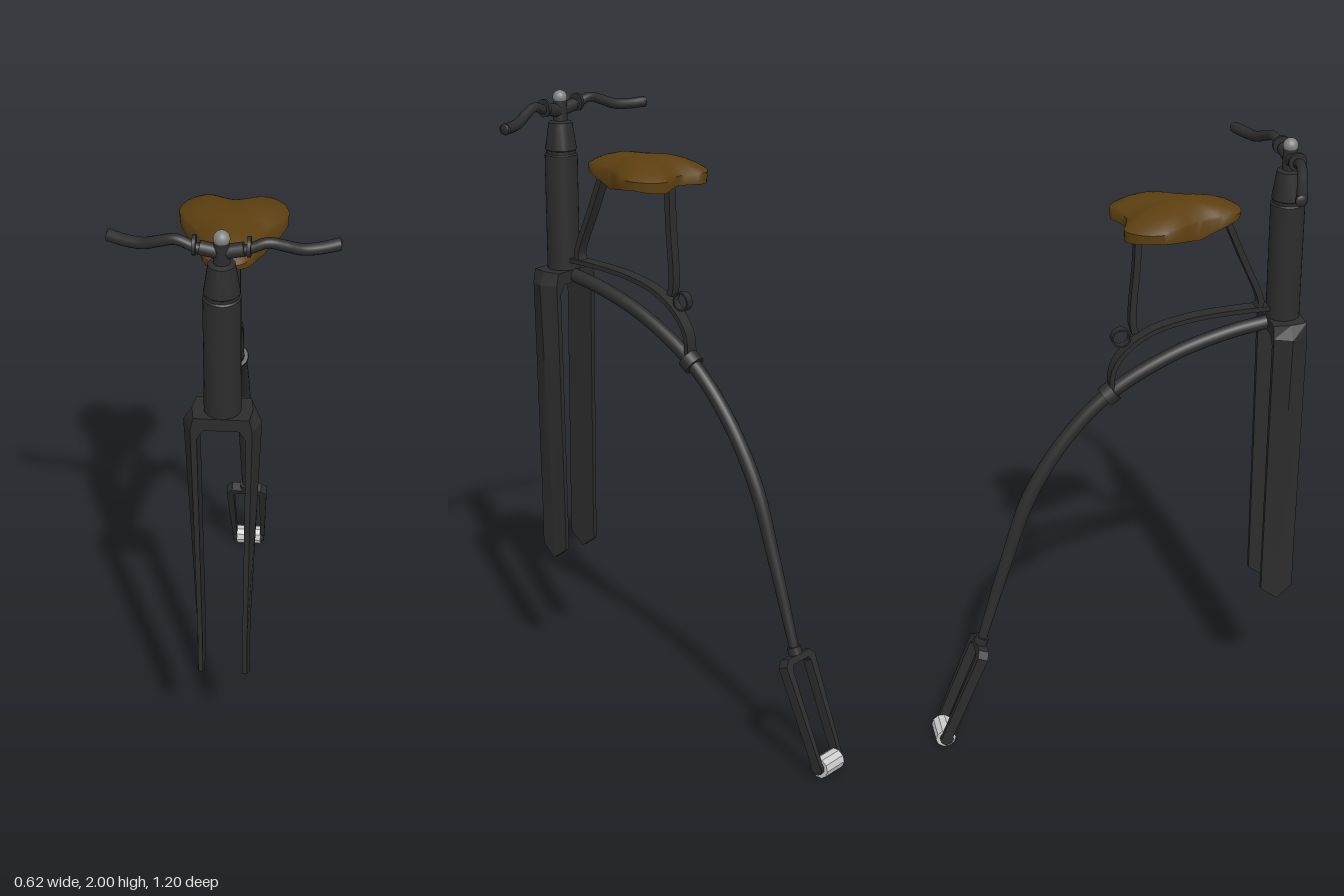
import * as THREE from 'three';
import { toCreasedNormals } from 'three/addons/utils/BufferGeometryUtils.js';

const black = new THREE.MeshStandardMaterial({ color: 0x2c2c2c, side: THREE.DoubleSide });
const leather = new THREE.MeshStandardMaterial({ color: 0x5c3f10, side: THREE.DoubleSide });
const steel = new THREE.MeshStandardMaterial({ color: 0xcccccc });
const capGrey = new THREE.MeshStandardMaterial({ color: 0x808080 });
const HEAD_Z = 0.548;

// Points are [z, y] in the middle plane
const planeCurve = pts => new THREE.CatmullRomCurve3(pts.map(([z, y]) => new THREE.Vector3(0, y, z)));

function interp(table, t) {
  if (t <= table[0][0]) return table[0][1];
  for (let i = 1; i < table.length; i++) {
    const [a, u] = table[i - 1], [b, v] = table[i];
    if (t <= b) return u + (v - u) * (t - a) / (b - a);
  }
  return table[table.length - 1][1];
}

// Tube whose radius varies along its length
function taperedTube(curve, segments, sides, radiusAt) {
  const geo = new THREE.TubeGeometry(curve, segments, 1, sides);
  const pos = geo.attributes.position, v = new THREE.Vector3();
  for (let i = 0; i < pos.count; i++) {
    const t = Math.floor(i / (sides + 1)) / segments, c = curve.getPointAt(t);
    v.fromBufferAttribute(pos, i).sub(c).multiplyScalar(radiusAt(t)).add(c);
    pos.setXYZ(i, v.x, v.y, v.z);
  }
  return geo;
}

// Flat bar bent in the middle plane, extruded across x
function bentBar(pts, width, thick) {
  const curve = planeCurve(pts), n = 24, a = [], b = [];
  for (let i = 0; i <= n; i++) {
    const p = curve.getPointAt(i / n), t = curve.getTangentAt(i / n), h = thick / 2;
    a.push(new THREE.Vector2(p.z - t.y * h, p.y + t.z * h));
    b.unshift(new THREE.Vector2(p.z + t.y * h, p.y - t.z * h));
  }
  const geo = new THREE.ExtrudeGeometry(new THREE.Shape([...a, ...b]), { depth: width, bevelEnabled: false });
  return toCreasedNormals(geo.translate(0, 0, -width / 2).rotateY(-Math.PI / 2), 0.6);
}

// Two-legged yoke mirrored from one half outline
function yoke(half, depth, steps = 1) {
  const pts = [...half, ...half.map(([x, y]) => [-x, y]).reverse()].map(p => new THREE.Vector2(...p));
  return new THREE.ExtrudeGeometry(new THREE.Shape(pts), { depth, steps, bevelEnabled: false }).translate(0, 0, -depth / 2);
}

// Front fork: chamfered outer faces and pointed tips
function frontForkGeometry() {
  const outer = [[0.085, 1.43], [0.11, 1.39], [0.1, 1.15], [0.08, 0.62], [0.08, 0.43]];
  const inner = [[0.06, 0.43], [0.06, 0.62], [0.068, 1.36], [0.05, 1.39]];
  const geo = yoke([...outer, ...inner], 0.106, 2), pos = geo.attributes.position;
  for (let i = 0; i < pos.count; i++) {
    const x = pos.getX(i), y = pos.getY(i);
    if (Math.abs(pos.getZ(i)) < 0.01) continue;
    if (outer.some(p => Math.abs(p[0] - Math.abs(x)) + Math.abs(p[1] - y) < 1e-4)) {
      const cut = interp([[0.43, 0.006], [0.62, 0.006], [1.39, 0.024], [1.43, 0.008]], y);
      pos.setX(i, x - Math.sign(x) * cut);
    }
    if (y < 0.44) pos.setY(i, 0.47);
  }
  geo.computeVertexNormals();
  return geo;
}

// Saddle: rings of a heart-shaped outline, domed above and hollow below
function saddleGeometry() {
  const half = [[0.05, 0.035], [0.09, 0.022], [0.135, 0.055], [0.156, 0.115], [0.14, 0.17],
    [0.105, 0.225], [0.083, 0.28], [0.07, 0.34], [0.045, 0.385]];
  const ring = [[0, 0.05], ...half, [0, 0.398], ...half.map(([x, z]) => [-x, z]).reverse()];
  const outline = new THREE.CatmullRomCurve3(ring.map(([x, z]) => new THREE.Vector3(x, 0, z)), true).getPoints(72);
  const lower = [[0.02, 1.765], [0.1, 1.775], [0.17, 1.765], [0.25, 1.745], [0.34, 1.772], [0.4, 1.785]];
  const top = (s, z) => 1.803 + 0.042 * (1 - s ** 3) - 0.004 * s * Math.abs(z - 0.2) / 0.2;
  const rows = [0, 0.25, 0.5, 0.7, 0.85, 0.95, 1].map(s => [s, z => top(s, z)]);
  rows.push([0.99, z => interp(lower, z)], [0.92, z => interp(lower, z) + 0.003],
    [0.8, () => 1.785], [0.4, () => 1.795], [0, () => 1.795]);
  const verts = [], index = [], n = outline.length;
  rows.forEach(([s, yAt], r) => outline.forEach((p, i) => {
    const z = 0.2 + (p.z - 0.2) * s;
    verts.push(p.x * s, yAt(z), z);
    if (r + 1 < rows.length && i + 1 < n) {
      const a = r * n + i, b = a + n;
      index.push(a, b + 1, b, a, a + 1, b + 1);
    }
  }));
  const geo = new THREE.BufferGeometry();
  geo.setAttribute('position', new THREE.Float32BufferAttribute(verts, 3));
  geo.setIndex(index);
  return toCreasedNormals(geo, 0.9);
}

export function createModel() {
  const model = new THREE.Group();
  const add = (name, geo, mat = black, x = 0, y = 0, z = 0) => {
    const mesh = new THREE.Mesh(geo, mat);
    mesh.name = name;
    mesh.position.set(x, y, z);
    model.add(mesh);
    return mesh;
  };

  // Head column with a stepped, tapered top
  const profile = [[0, 1.39], [0.052, 1.39], [0.052, 1.798], [0.047, 1.802], [0.047, 1.812], [0.05, 1.815],
    [0.037, 1.9], [0.023, 1.905], [0.021, 1.97], [0, 1.97]].map(p => new THREE.Vector2(...p));
  add('headColumn', toCreasedNormals(new THREE.LatheGeometry(profile, 32), 0.5), black, 0, 0, HEAD_Z);
  add('headCap', new THREE.SphereGeometry(0.023, 20, 14), capGrey, 0, 1.977, HEAD_Z);
  add('frontFork', frontForkGeometry(), black, 0, 0, HEAD_Z);

  // Handlebar with clamps and rounded grips
  const side = [[0.06, 1.943, 0.546], [0.12, 1.963, 0.538], [0.165, 1.95, 0.528], [0.21, 1.932, 0.513],
    [0.26, 1.928, 0.495], [0.305, 1.93, 0.476]];
  const barPts = [...side.map(([x, y, z]) => [-x, y, z]).reverse(), [0, 1.935, HEAD_Z], ...side];
  const bar = new THREE.CatmullRomCurve3(barPts.map(p => new THREE.Vector3(...p)));
  add('handlebar', taperedTube(bar, 64, 14, t => 0.0135 + 0.004 * Math.abs(2 * t - 1)));
  for (const s of [-1, 1]) {
    const end = add('gripEnd', new THREE.SphereGeometry(0.0175, 14, 10), black, s * 0.305, 1.93, 0.476);
    end.scale.x = 0.4;
    add('barClamp', new THREE.CylinderGeometry(0.028, 0.028, 0.01, 16).rotateZ(Math.PI / 2), black, s * 0.072, 1.953, 0.545);
    add('stemArm', new THREE.CylinderGeometry(0.02, 0.02, 0.05, 16).rotateZ(Math.PI / 2 + s * 0.2), black, s * 0.035, 1.942, 0.547);
  }

  // Curved backbone with its collars
  const spine = planeCurve([[0.5, 1.41], [0.38, 1.39], [0.2, 1.335], [0, 1.225], [-0.14, 1.085],
    [-0.26, 0.89], [-0.34, 0.66], [-0.43, 0.37]]);
  add('backbone', taperedTube(spine, 60, 18, t => interp([[0, 0.022], [0.65, 0.023], [0.85, 0.019], [1, 0.015]], t)));
  const collar = (name, r, h, y, z, tilt) => {
    add(name, new THREE.CylinderGeometry(r, r, h, 20), black, 0, y, z).rotation.x = tilt;
  };
  collar('backboneCollar', 0.034, 0.035, 1.225, 0, 0.95);
  collar('rearForkCollar', 0.022, 0.025, 0.378, -0.428, 0.35);

  // Rear fork and roller
  const rearHalf = [[0.05, 0], [0.07, -0.02], [0.056, -0.36], [0.042, -0.36], [0.045, -0.035], [0.036, -0.022]];
  add('rearFork', yoke(rearHalf, 0.034), black, 0, 0.365, -0.43).rotation.x = 0.394;
  add('rearRoller', toCreasedNormals(new THREE.CylinderGeometry(0.033, 0.033, 0.086, 10).rotateZ(Math.PI / 2), 0.3),
    steel, 0, 0.033, -0.567);
  for (const s of [-1, 1])
    add('axleEnd', new THREE.CylinderGeometry(0.022, 0.022, 0.014, 16).rotateZ(Math.PI / 2), black, s * 0.048, 0.036, -0.565);

  // Saddle, its spring bar, posts and ring
  add('saddle', saddleGeometry(), leather);
  add('springBar', bentBar([[0.5, 1.462], [0.4, 1.462], [0.25, 1.452], [0.13, 1.423], [0.05, 1.37], [0.01, 1.31], [0.003, 1.23]], 0.04, 0.015));
  add('frontSeatPost', bentBar([[0.34, 1.79], [0.356, 1.765], [0.41, 1.64], [0.467, 1.51], [0.473, 1.48], [0.46, 1.46]], 0.036, 0.019));
  add('rearSeatPost', bentBar([[0.1, 1.79], [0.089, 1.765], [0.082, 1.65], [0.07, 1.46], [0.078, 1.425]], 0.03, 0.02));
  add('saddleBracket', new THREE.BoxGeometry(0.036, 0.012, 0.26), black, 0, 1.79, 0.22);
  const ringShape = new THREE.Shape().absarc(0, 0, 0.03, 0, Math.PI * 2);
  ringShape.holes.push(new THREE.Path().absarc(0, 0, 0.025, 0, Math.PI * 2));
  const ring = new THREE.ExtrudeGeometry(ringShape, { depth: 0.024, bevelEnabled: false, curveSegments: 24 });
  add('springRing', toCreasedNormals(ring.translate(0, 0, -0.012).rotateY(-Math.PI / 2), 0.6), black, 0, 1.413, 0.035);

  return model;
}
